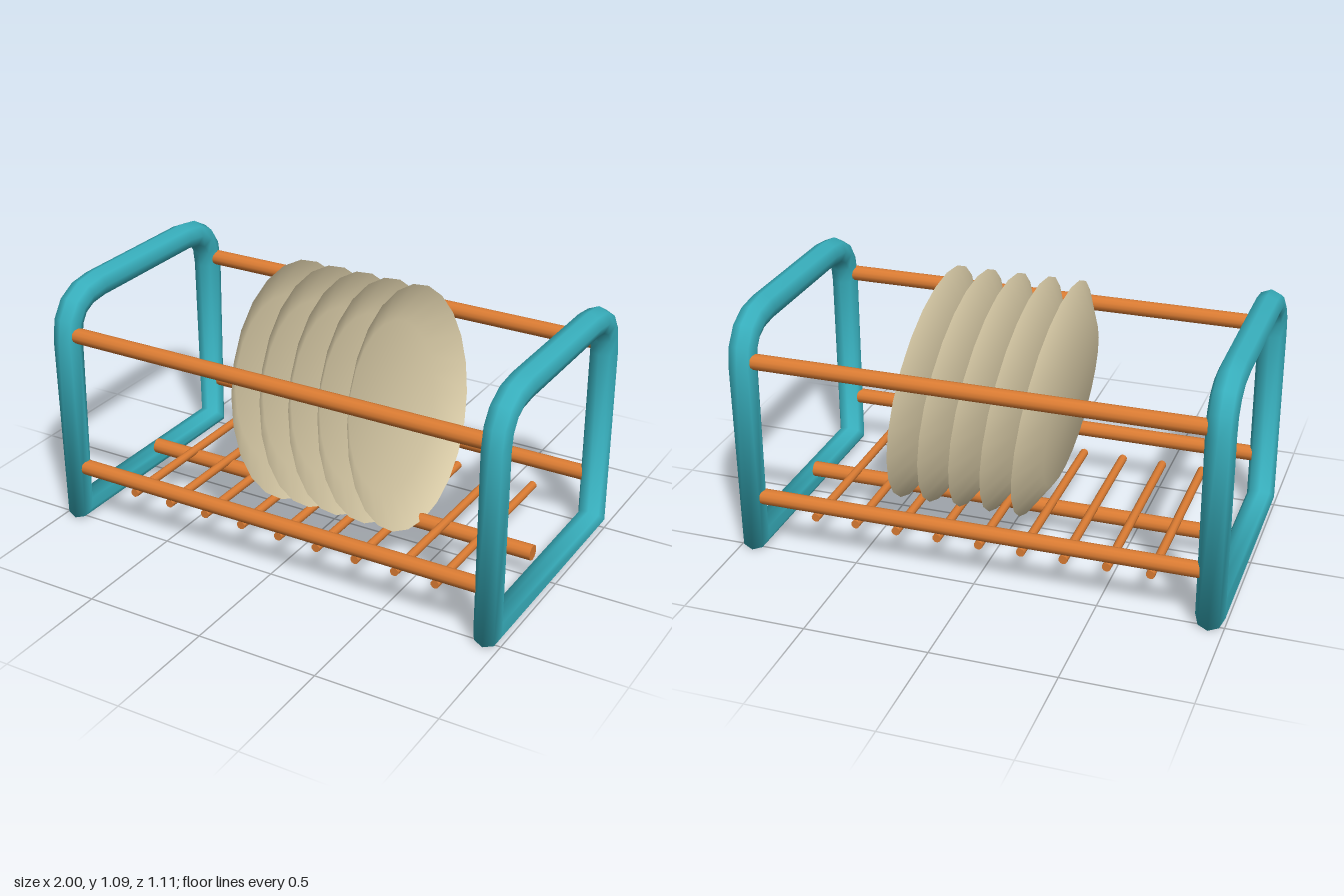
import * as THREE from 'three';

const material = (name, color, extra = {}) => {
  const m = new THREE.MeshStandardMaterial({ color, ...extra });
  m.name = name;
  return m;
};

// Closed polyline whose rings are mitred at each corner
class MitredLoop extends THREE.Curve {
  constructor(points) {
    super();
    this.points = points;
  }
  at(i) {
    const n = this.points.length;
    return this.points[((i % n) + n) % n];
  }
  getPointAt(u, target = new THREE.Vector3()) {
    return target.copy(this.at(Math.round(u * this.points.length)));
  }
  getTangentAt(u, target = new THREE.Vector3()) {
    const i = Math.round(u * this.points.length);
    const p = this.at(i);
    const before = p.clone().sub(this.at(i - 1)).normalize();
    const after = this.at(i + 1).clone().sub(p).normalize();
    return target.copy(before.add(after).normalize());
  }
}

export function createModel() {
  const model = new THREE.Group();
  model.name = 'dishRack';
  const teal = material('tealFrame', 0x38b0be);
  const orange = material('orangeRod', 0xdb7c33);
  const cream = material('creamPlate', 0xded0ab, { side: THREE.DoubleSide });

  const add = (name, geometry, mat, x, y, z) => {
    const mesh = new THREE.Mesh(geometry, mat);
    mesh.name = name;
    mesh.position.set(x, y, z);
    model.add(mesh);
    return mesh;
  };

  // End frames: sharp lower corners, rounded upper corners
  const v = (z, y) => new THREE.Vector3(0, y, z);
  const bend = new THREE.QuadraticBezierCurve3(v(0.495, 0.8), v(0.495, 0.974), v(0.3, 0.974));
  const half = [v(0.495, 0.042), ...bend.getPoints(4)];
  const mirrored = half.map((p) => v(-p.z, p.y)).reverse();
  const loop = new MitredLoop([...half, ...mirrored]);
  const frameGeometry = new THREE.TubeGeometry(loop, loop.points.length, 0.058, 8, true);
  add('leftFrame', frameGeometry, teal, 0.942, 0, 0);
  add('rightFrame', frameGeometry, teal, -0.942, 0, 0);

  // Long rails joining the frames
  const railGeometry = new THREE.CylinderGeometry(0.032, 0.032, 1.795, 12).rotateZ(Math.PI / 2);
  for (const z of [0.495, -0.495]) {
    const side = z > 0 ? 'front' : 'back';
    add(side + 'UpperRail', railGeometry, orange, 0, 0.828, z);
    add(side + 'LowerRail', railGeometry, orange, 0, 0.235, z);
  }
  add('centreRail', railGeometry, orange, 0, 0.111, 0);

  // Thin cross rods of the base
  const rodGeometry = new THREE.CylinderGeometry(0.018, 0.018, 0.89, 10).rotateX(Math.PI / 2);
  for (let i = -4; i <= 4; i++) add('crossRod', rodGeometry, orange, i * 0.1735, 0.144, 0);

  // Leaning row of shallow plates, open towards +x
  const profile = [[0, 0], [0.343, 0], [0.489, 0.08]].map(([r, y]) => new THREE.Vector2(r, y));
  const plateGeometry = new THREE.LatheGeometry(profile, 24);
  for (let i = 0; i < 5; i++) {
    const plate = add('plate', plateGeometry, cream, -0.243 + i * 0.1275, 0.593, 0);
    plate.rotation.z = THREE.MathUtils.degToRad(-82);
  }
  return model;
}
